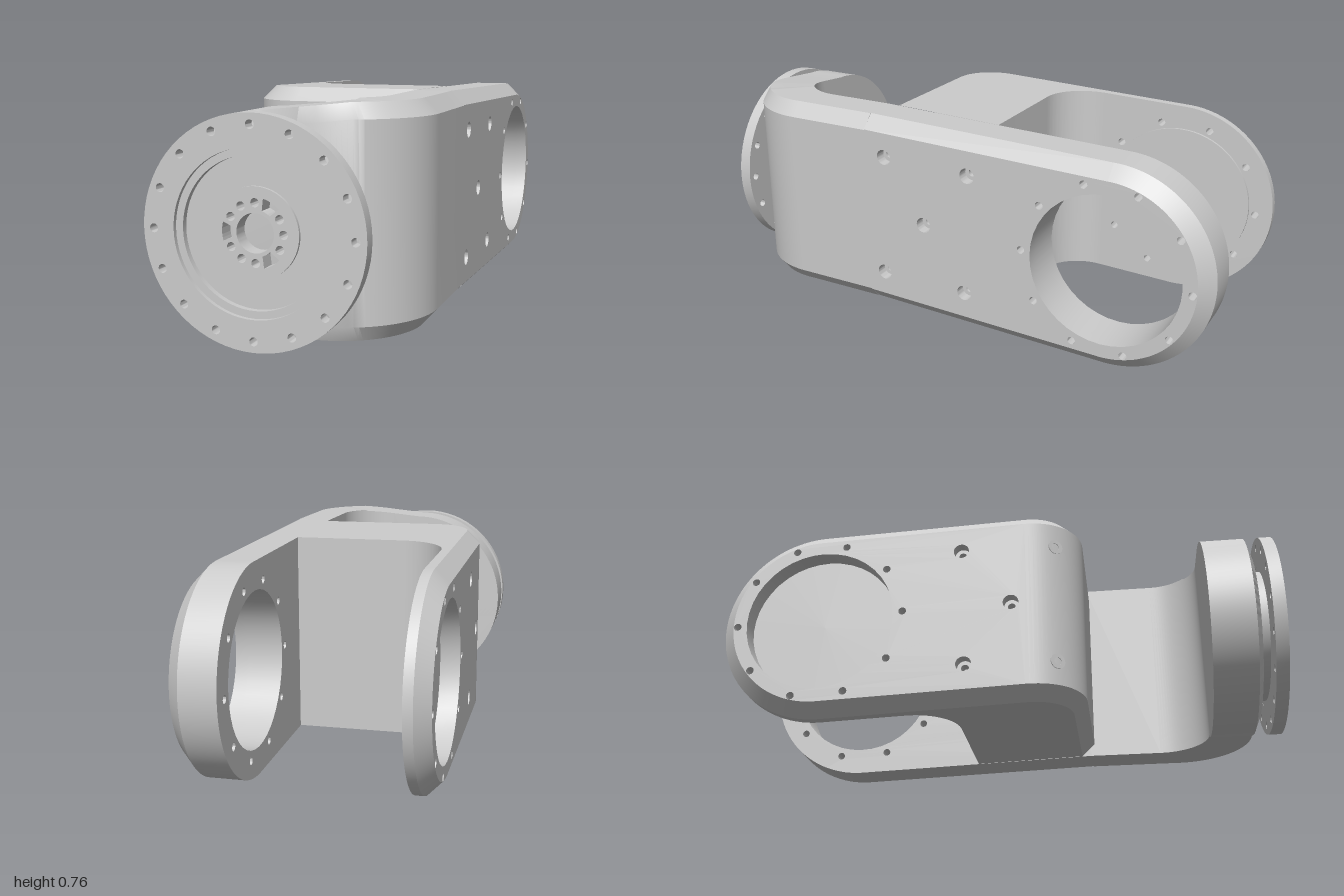
import * as THREE from 'three';
import { mergeGeometries, toCreasedNormals } from 'three/addons/utils/BufferGeometryUtils.js';

const MAT = new THREE.MeshStandardMaterial({ color: 0xcccccc });
const CY = 0.367;   // height of both joint axes
const PIVOT = -0.633; // z of the fork axis
const FX = -0.055;  // x of the flange axis
const V = (x, y, z) => new THREE.Vector3(x, y, z);
const range = (n, f) => Array.from({ length: n }, (_, i) => f(i));

// top and bottom heights taper towards the fork
const taper = z => THREE.MathUtils.clamp((z - PIVOT) / 0.883, 0, 1);
const bottom = z => 0.03 * taper(z);
const top = (x, z) => z > 0.7 && x < 0.22
  ? 0.732 + 0.028 * (x - FX) / 0.275 : 0.734 + 0.026 * taper(z);

function circle(r, x = 0, y = 0) {
  return new THREE.Path().absarc(x, y, r, 0, Math.PI * 2, false);
}

function disc(r, holes = []) {
  const s = new THREE.Shape().absarc(0, 0, r, 0, Math.PI * 2, false);
  s.holes = holes;
  return s;
}

function extrude(shape, z0, z1, curveSegments = 20) {
  const g = new THREE.ExtrudeGeometry(shape, { depth: z1 - z0, bevelEnabled: false, curveSegments });
  return g.translate(0, 0, z0);
}

// skin through a list of closed rings
function loft(rings) {
  const pos = [];
  for (let i = 0; i + 1 < rings.length; i++) {
    const r = rings[i], s = rings[i + 1], n = r.length;
    for (let j = 0; j < n; j++) {
      const k = (j + 1) % n;
      for (const p of [r[j], r[k], s[k], r[j], s[k], s[j]]) pos.push(p.x, p.y, p.z);
    }
  }
  const g = new THREE.BufferGeometry();
  g.setAttribute('position', new THREE.Float32BufferAttribute(pos, 3));
  return g;
}

function mesh(name, geos) {
  const clean = geos.map(g => {
    const c = g.index ? g.toNonIndexed() : g;
    c.deleteAttribute('uv');
    c.deleteAttribute('normal');
    return c;
  });
  const m = new THREE.Mesh(toCreasedNormals(mergeGeometries(clean), 0.5), MAT);
  m.name = name;
  return m;
}

// slab with holes, and a chamfer round its outer face
function slab(name, outline, holes, thick, inset, depth) {
  const inner = outline.map(p => {
    const a = new THREE.Vector2(Math.max(p.x, 0), 0);
    const d = p.clone().sub(a);
    return a.add(d.setLength(d.length() - inset));
  });
  const make = pts => { const s = new THREE.Shape(pts); s.holes = holes; return s; };
  return mesh(name, [
    extrude(make(outline), 0, thick - depth),
    extrude(make(inner), thick - depth, thick),
    loft([outline.map(p => V(p.x, p.y, thick - depth)), inner.map(p => V(p.x, p.y, thick))])
  ]);
}

function arc(r, a0, a1, n) {
  return range(n + 1, i => {
    const a = THREE.MathUtils.degToRad(a0 + (a1 - a0) * i / n);
    return new THREE.Vector2(r * Math.cos(a), r * Math.sin(a));
  });
}

// cross-section of a wall: inner point, outer point, outward direction (all x,z)
function section(I, O, n, cd, cy) {
  const C = [O[0] - n[0] * cd, O[1] - n[1] * cd];
  const lo = (p, d = 0) => V(p[0], bottom(p[1]) + d, p[1]);
  const hi = (p, d = 0) => V(p[0], top(p[0], p[1]) - d, p[1]);
  return [lo(I), lo(C), lo(O, cy), hi(O, cy), hi(C), hi(I)];
}

const SCREWS = [[0.22, 0.62], [-0.12, 0.61], [0.06, 0.39], [0.235, 0.165], [-0.105, 0.16]];

// fork arm; side +1 or -1 gives the direction its outer face looks
function forkArm(name, side, x, thick, zEnd) {
  const f = -side, u = zEnd - PIVOT;
  const ends = [bottom(zEnd) - CY, top(0.3, zEnd) - CY].map(v => v * f).sort((a, b) => a - b);
  const outline = [...arc(CY, 90, 270, 56),
    new THREE.Vector2(u, ends[0]), new THREE.Vector2(u, ends[1])];
  const screws = SCREWS.filter(s => s[0] < zEnd - 0.03);
  const holes = [circle(0.27)];
  for (let i = 0; i < 10; i++) {
    const a = (2.4 + 36 * i) * Math.PI / 180;
    holes.push(circle(0.014, 0.304 * Math.cos(a), f * 0.304 * Math.sin(a)));
  }
  for (const [z, y] of screws) holes.push(circle(0.028, z - PIVOT, f * (y - CY)));
  const g = new THREE.Group();
  g.name = name;
  g.add(slab(name + 'Plate', outline, holes, thick, 0.048, 0.048));
  // counterbored screw seats
  for (const [z, y] of screws) {
    const seat = mesh('screwSeat', [extrude(disc(0.03, [circle(0.014)]), 0, thick - 0.04, 12)]);
    seat.position.set(z - PIVOT, f * (y - CY), 0);
    g.add(seat);
  }
  g.applyMatrix4(new THREE.Matrix4()
    .makeBasis(V(0, 0, 1), V(0, f, 0), V(side, 0, 0)).setPosition(x, CY, PIVOT));
  return g;
}

// hub pattern: bore, nine small holes and three slots
function hubHoles() {
  const holes = [circle(0.062)];
  for (let i = 0; i < 12; i++) {
    const a = i * Math.PI / 6;
    if (i % 4 === 2) {
      const w = 0.27;
      const p = new THREE.Path();
      p.absarc(0, 0, 0.11, a - w, a + w, false);
      p.absarc(0, 0, 0.073, a + w * 0.75, a - w * 0.75, true);
      p.closePath();
      holes.push(p);
    } else holes.push(circle(0.014, 0.093 * Math.cos(a), 0.093 * Math.sin(a)));
  }
  return holes;
}

export function createModel() {
  const model = new THREE.Group();
  model.name = 'jointLink';

  // the two fork arms and the cover closing the left bore
  model.add(forkArm('openArm', 1, 0.24, 0.175, 0.3));
  model.add(forkArm('coveredArm', -1, -0.325, 0.08, 0.11));
  const cover = mesh('boreCover', [new THREE.CylinderGeometry(0.28, 0.28, 0.02, 72)]);
  cover.rotation.z = Math.PI / 2;
  cover.position.set(-0.325, CY, PIVOT);
  model.add(cover);

  // web block with the fillet into the covered arm
  const plan = new THREE.Shape();
  plan.moveTo(-0.325, -0.11);
  plan.lineTo(0.24, -0.11);
  plan.lineTo(0.24, 0.15);
  plan.lineTo(-0.155, 0.15);
  plan.absarc(-0.155, 0.32, 0.17, -Math.PI / 2, -Math.PI, true);
  plan.closePath();
  const block = extrude(plan, 0, 1).rotateX(-Math.PI / 2);
  const bp = block.attributes.position;
  for (let i = 0; i < bp.count; i++) {
    const z = bp.getZ(i);
    bp.setY(i, bp.getY(i) > 0.5 ? top(0, z) : bottom(z));
  }
  model.add(mesh('webBlock', [block]));

  // front of the web, rounding into the covered arm
  const corner = arc(1, 90, 180, 20).map((n, i) => section([-0.205 - 0.12 * i / 20, 0.11],
    [-0.205 + 0.2 * n.x, 0.11 + 0.2 * n.y], [n.x, n.y], 0.048, 0.048));
  model.add(mesh('webFront', [loft([section([0.24, 0.11], [0.24, 0.31], [0, 1], 0.048, 0.048), ...corner])]));

  // screw seats on the rounded corner
  for (const y of [0.62, 0.165]) {
    const seat = mesh('cornerScrewSeat', [extrude(disc(0.028, [circle(0.014)]), -0.01, 0.002, 12)]);
    seat.position.set(-0.372, y, 0.22);
    seat.rotation.y = Math.atan2(-0.835, 0.55);
    model.add(seat);
  }

  // bend from the open arm to the front plate
  const bend = arc(1, 0, 90, 28).map((n, i) => section([0.06 + 0.18 * n.x, 0.565 + 0.18 * n.y],
    [0.115 + 0.3 * n.x, 0.62 + 0.3 * n.y], [n.x, n.y], 0.045 - 0.025 * i / 28, 0.05));
  model.add(mesh('bend', [loft([
    section([0.24, 0.3], [0.415, 0.3], [1, 0], 0.045, 0.05),
    ...bend,
    section([0.06, 0.745], [0.06, 0.92], [0, 1], 0.02, 0.05)
  ])]));

  // front plate with its round end
  const outline = [...arc(0.365, 90, 288.4, 64), new THREE.Vector2(0.115, top(0.06, 0.92) - CY)];
  const plate = slab('frontPlate', outline, hubHoles(), 0.175, 0.05, 0.02);
  plate.position.set(FX, CY, 0.745);
  model.add(plate);

  // flange: neck, hub, stepped lip and drilled ring
  const bolts = range(16, i => circle(0.014,
    0.33 * Math.cos(i * Math.PI / 8), 0.33 * Math.sin(i * Math.PI / 8)));
  const flange = new THREE.Group();
  flange.name = 'flange';
  flange.add(
    mesh('neck', [extrude(disc(0.24, hubHoles()), 0.92, 0.965, 32)]),
    mesh('hub', [extrude(disc(0.143, hubHoles()), 0.965, 0.975, 32)]),
    mesh('lip', [extrude(disc(0.263, [circle(0.238)]), 0.956, 0.985, 36)]),
    mesh('flangeRing', [extrude(disc(0.365, [circle(0.262), ...bolts]), 0.955, 1, 36)])
  );
  flange.position.set(FX, CY, 0);
  model.add(flange);
  return model;
}
